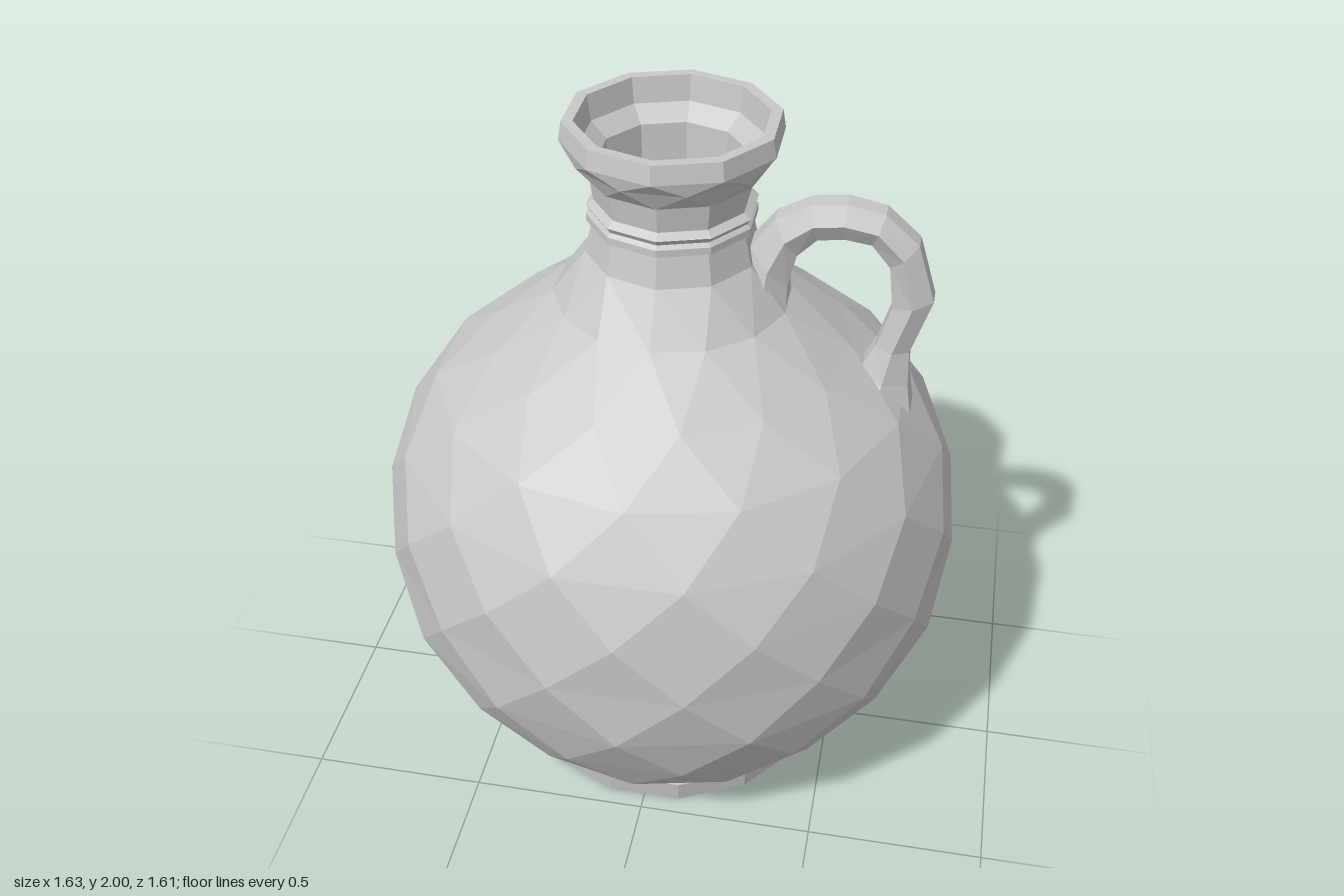
import * as THREE from 'three';

const clay = new THREE.MeshStandardMaterial({ color: 0xc8c8c8 });
clay.name = 'pale clay';
clay.flatShading = true;

// A ring of n points round the y axis; off turns it by a part of one side.
function ring(r, y, n, off = 0) {
  const points = [];
  for (let i = 0; i < n; i++) {
    const a = ((i + off) / n) * Math.PI * 2;
    points.push(new THREE.Vector3(r * Math.cos(a), y, -r * Math.sin(a)));
  }
  return { points, off };
}
const centre = (y) => ({ points: [new THREE.Vector3(0, y, 0)], off: 0 });

// Skins neighbouring rings with triangles, also when their side counts differ.
function loft(name, rings) {
  const pos = [];
  const tri = (...corners) => corners.forEach((p) => pos.push(p.x, p.y, p.z));
  for (let k = 0; k + 1 < rings.length; k++) {
    const A = rings[k], B = rings[k + 1];
    const na = A.points.length, nb = B.points.length;
    const stepsA = na > 1 ? na : 0, stepsB = nb > 1 ? nb : 0;
    let i = 0, j = 0;
    while (i < stepsA || j < stepsB) {
      const a = A.points[i % na], b = B.points[j % nb];
      const nextA = (i + 1 + A.off) / na, nextB = (j + 1 + B.off) / nb;
      if (j >= stepsB || (i < stepsA && nextA <= nextB)) {
        tri(a, A.points[(i + 1) % na], b);
        i++;
      } else {
        tri(a, B.points[(j + 1) % nb], b);
        j++;
      }
    }
  }
  const geometry = new THREE.BufferGeometry();
  geometry.setAttribute('position', new THREE.Float32BufferAttribute(pos, 3));
  geometry.computeVertexNormals();
  const mesh = new THREE.Mesh(geometry, clay);
  mesh.name = name;
  return mesh;
}

export function createModel() {
  const jug = new THREE.Group();
  jug.name = 'jug';

  // Low foot with a closed underside
  jug.add(loft('foot', [centre(0), ring(0.46, 0, 14), ring(0.47, 0.07, 14), ring(0.45, 0.07, 14)]));

  // Round belly: every second ring is turned by half a side
  const belly = [
    [0.45, 0.07], [0.6, 0.21], [0.72, 0.39], [0.795, 0.57], [0.815, 0.75], [0.805, 0.92],
    [0.755, 1.08], [0.65, 1.24], [0.49, 1.37], [0.32, 1.5],
  ].map(([r, y], k) => ring(r, y, 14, k % 2 ? 0.5 : 0));
  jug.add(loft('belly', [...belly, ring(0.23, 1.63, 10, 0.5), ring(0.21, 1.72, 10, 0.5)]));

  // Neck with collar, flared lip and hollow throat
  const neck = [
    [0.21, 1.72], [0.225, 1.72], [0.225, 1.74], [0.215, 1.75], [0.225, 1.765], [0.205, 1.78],
    [0.215, 1.85], [0.225, 1.855], [0.265, 1.91, 0], [0.288, 1.95], [0.28, 2], [0.25, 2],
    [0.24, 1.93], [0.195, 1.89], [0.19, 1.77], [0.125, 1.58],
  ].map(([r, y, off = 0.5]) => ring(r, y, 10, off));
  jug.add(loft('neck', [...neck, centre(1.58)]));

  // Looped handle: outer edge, inner edge and half width of each section
  const handle = [
    [0.19, 1.56, 0.31, 1.5, 0.09], [0.21, 1.67, 0.31, 1.56, 0.075], [0.27, 1.75, 0.33, 1.65, 0.06],
    [0.36, 1.8, 0.38, 1.7, 0.055], [0.45, 1.81, 0.45, 1.71, 0.055], [0.55, 1.79, 0.52, 1.7, 0.055],
    [0.64, 1.71, 0.57, 1.64, 0.055], [0.69, 1.55, 0.585, 1.52, 0.055], [0.64, 1.39, 0.55, 1.4, 0.055],
    [0.645, 1.29, 0.51, 1.32, 0.075], [0.665, 1.17, 0.45, 1.3, 0.11],
  ].map(([ox, oy, ix, iy, w]) => {
    const points = [[0, -0.5], [0, 0.5], [0.5, 1], [1, 0.5], [1, -0.5], [0.5, -1]].map(
      ([t, s]) => new THREE.Vector3(ox + (ix - ox) * t, oy + (iy - oy) * t, w * s));
    return { points, off: 0 };
  });
  jug.add(loft('handle', handle));

  return jug;
}
